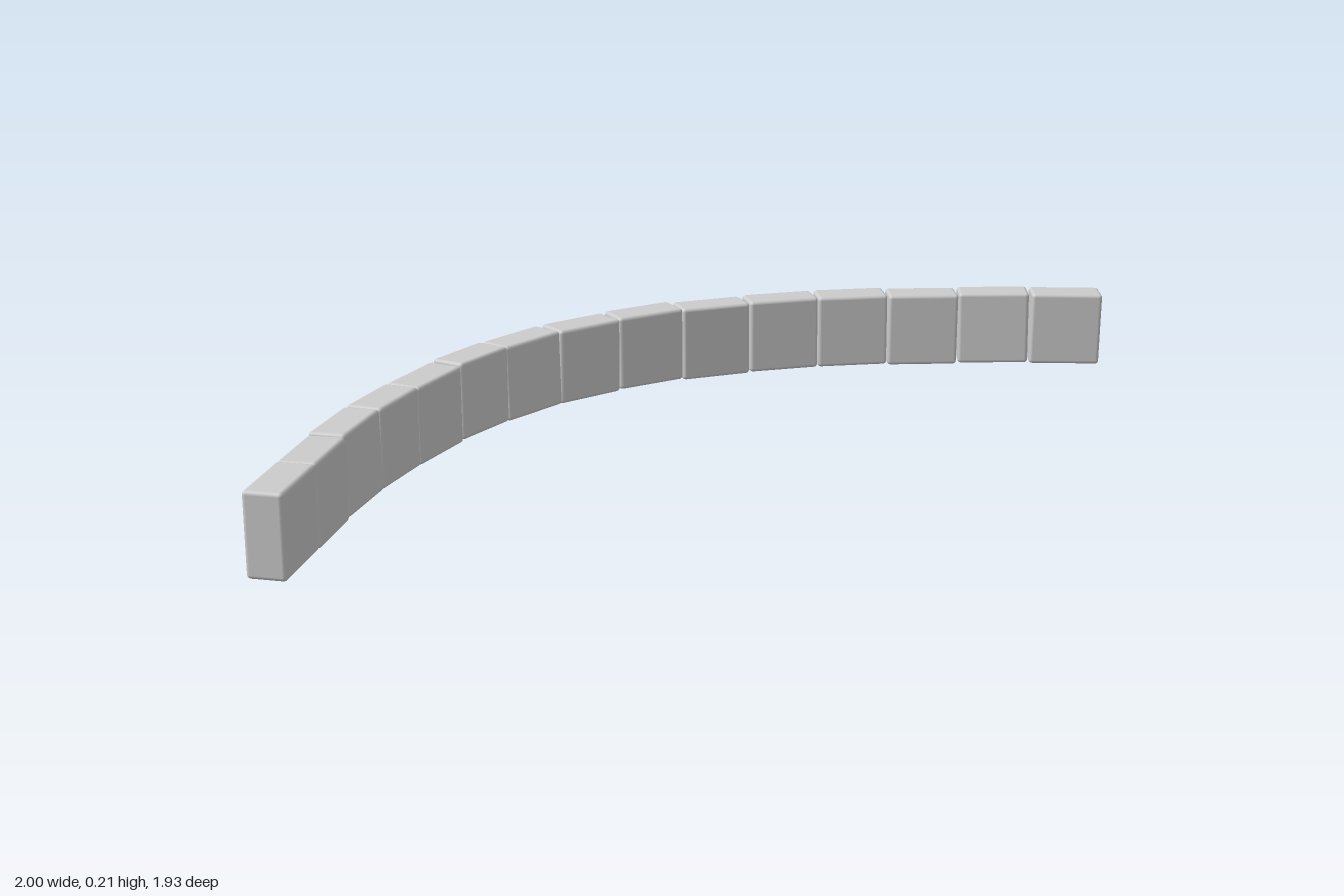
import * as THREE from 'three';
import { RoundedBoxGeometry } from 'three/addons/geometries/RoundedBoxGeometry.js';

const BLOCKS = 15;
const HEIGHT = 0.207;

// Line of the curved kerb, as [x, z] points
const PATH = [
  [0.893, -0.915], [0.482, -0.885], [0.077, -0.794], [-0.299, -0.612],
  [-0.594, -0.329], [-0.786, 0.04], [-0.896, 0.441], [-0.946, 0.855],
];

export function createModel() {
  const group = new THREE.Group();
  group.name = 'curvedKerb';

  const material = new THREE.MeshStandardMaterial({ color: 0xcccccc });
  const stone = new RoundedBoxGeometry(0.202, HEIGHT, 0.095, 2, 0.01);
  const curve = new THREE.CatmullRomCurve3(
    PATH.map(([x, z]) => new THREE.Vector3(x, 0, z)), false, 'centripetal');

  // Stones laid end to end along the curve, each set slightly unevenly
  for (let i = 0; i < BLOCKS; i++) {
    const u = i / (BLOCKS - 1);
    const point = curve.getPointAt(u);
    const tangent = curve.getTangentAt(u);
    const block = new THREE.Mesh(stone, material);
    block.name = `kerbStone${i + 1}`;
    block.position.set(point.x, 0.113 + 0.002 * Math.sin(i * 2.3), point.z);
    block.rotation.order = 'YXZ';
    block.rotation.set(
      0.012 * Math.sin(i * 1.7),
      -Math.atan2(tangent.z, tangent.x),
      0.014 * Math.sin(i * 2.9 + 1));
    group.add(block);
  }

  // Rest the lowest stone on the ground
  const box = new THREE.Box3().setFromObject(group, true);
  for (const block of group.children) block.position.y -= box.min.y - 0.004;
  return group;
}
